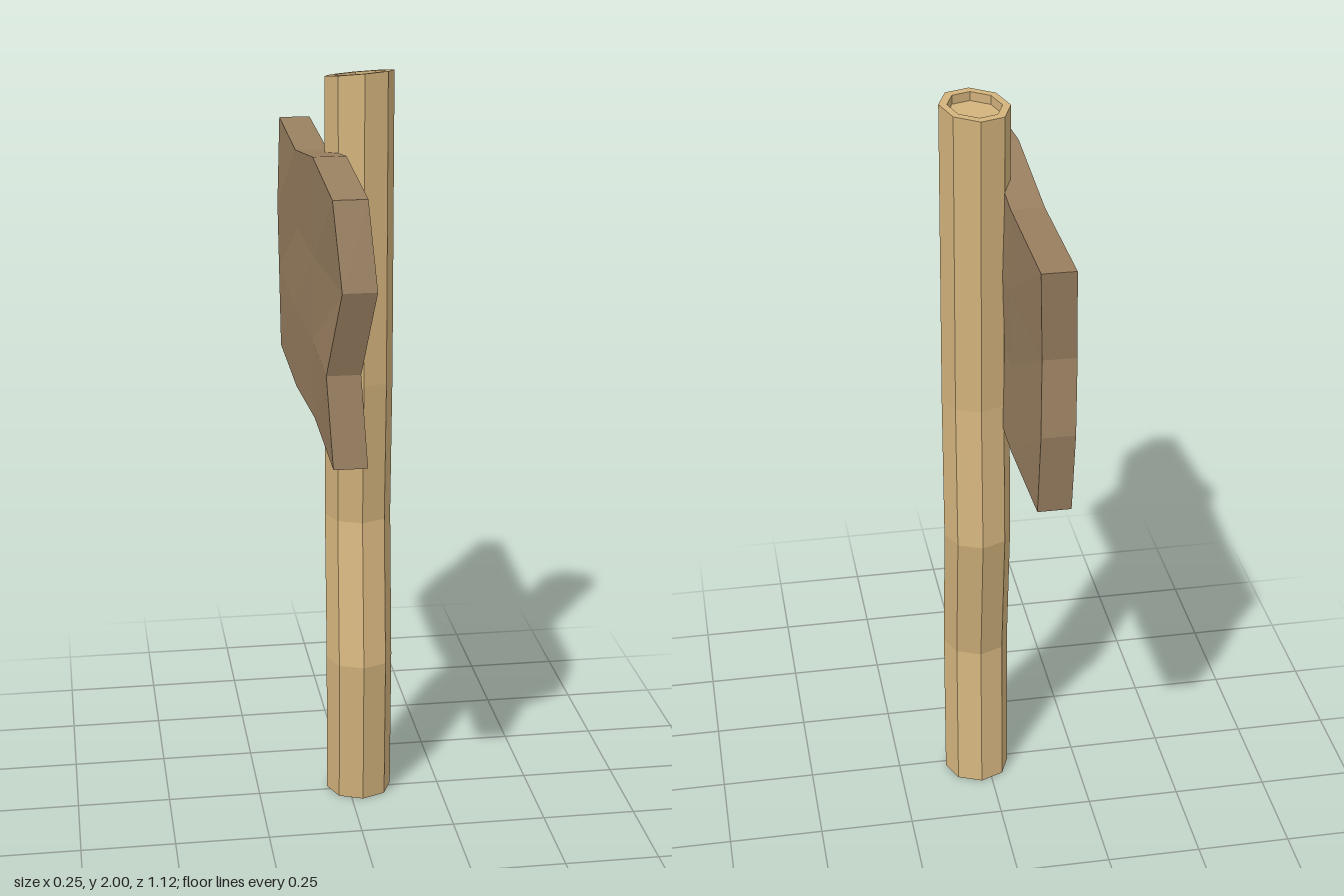
import * as THREE from 'three';

const wood = (color) => new THREE.MeshStandardMaterial({ color, flatShading: true, roughness: 1 });

// Crooked eight-sided post with a shallow recess in its top
function makePost() {
  const r = 0.089, inner = 0.068;
  const profile = [
    [0, 0], [r, 0], [r, 0.41], [r, 0.8], [r, 1.19], [r, 1.988], [inner, 1.988], [inner, 1.965], [0, 1.965],
  ].map(([x, y]) => new THREE.Vector2(x, y));
  const geo = new THREE.LatheGeometry(profile, 8);
  // Bend: centre of the post at each height [y, x, z]
  const bends = [[0, 0.03, -0.018], [0.41, 0.026, 0.018], [0.8, 0.032, -0.053], [1.19, 0.03, -0.018]];
  const p = geo.attributes.position;
  for (let i = 0; i < p.count; i++) {
    const x = p.getX(i), y = p.getY(i), z = p.getZ(i);
    const [, cx, cz] = bends.findLast((b) => y >= b[0] - 0.01);
    // The cut at the top slopes slightly
    const slope = y > 1.9 ? 0.07 * x + 0.12 * z : 0;
    p.setXYZ(i, x + cx, y + slope, z + cz);
  }
  geo.computeVertexNormals();
  const post = new THREE.Mesh(geo, wood(0xd2b27c));
  post.name = 'post';
  return post;
}

// Rough plank: a 3 x 3 divided box whose grid points are nudged
function makeBoard() {
  const geo = new THREE.BoxGeometry(1, 3, 3, 1, 3, 3);
  // Columns run from back to front, rows from bottom to top
  const zs = [
    [-0.53, -0.56, -0.53, -0.56],
    [-0.19, -0.18, -0.17, -0.16],
    [0.17, 0.17, 0.17, 0.17],
    [0.52, 0.485, 0.56, 0.512],
  ];
  const ys = [
    [1.14, 1.36, 1.55, 1.785],
    [1.12, 1.355, 1.56, 1.77],
    [1.145, 1.35, 1.565, 1.815],
    [1.125, 1.35, 1.57, 1.78],
  ];
  const xs = [
    [-0.076, -0.076, -0.082, -0.071],
    [-0.073, -0.078, -0.07, -0.075],
    [-0.07, -0.075, -0.07, -0.072],
    [-0.07, -0.082, -0.054, -0.07],
  ];
  const p = geo.attributes.position;
  for (let i = 0; i < p.count; i++) {
    const c = Math.round(p.getZ(i) + 1.5), r = Math.round(p.getY(i) + 1.5);
    p.setXYZ(i, xs[c][r] + p.getX(i) * 0.084, ys[c][r], zs[c][r]);
  }
  geo.computeVertexNormals();
  const board = new THREE.Mesh(geo, wood(0x997f60));
  board.name = 'signBoard';
  return board;
}

export function createModel() {
  const group = new THREE.Group();
  group.name = 'woodenSign';
  group.add(makePost(), makeBoard());
  return group;
}
